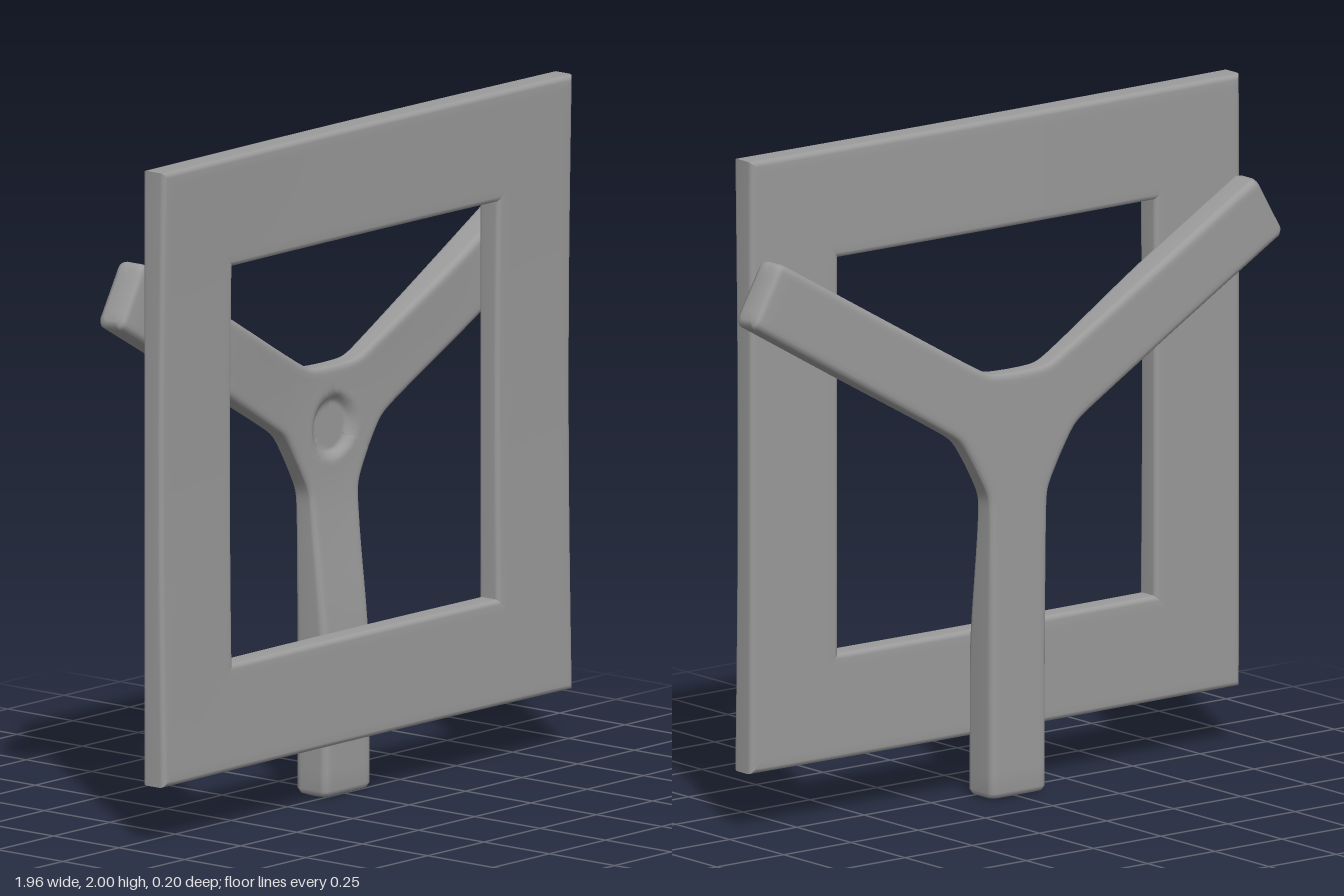
import * as THREE from 'three';
import { mergeGeometries, mergeVertices } from 'three/addons/utils/BufferGeometryUtils.js';

const N = 12;          // points across a broad face
const HALF = N + 7;    // ring points per half (broad face, two corners)
const { smoothstep, lerp } = THREE.MathUtils;

// Rounded rectangle as [u, z] pairs: front face first, then round to the back
function ring(u0, u1, z0, z1, b) {
  const pts = [];
  const cu = (u0 + u1) / 2, cz = (z0 + z1) / 2;
  const hu = (u1 - u0) / 2, hz = (z1 - z0) / 2;
  for (const s of [1, -1]) {
    for (let i = 0; i <= N; i++) pts.push([cu + s * (hu - b) * (2 * i / N - 1), cz + s * hz]);
    for (let k = 1; k <= 3; k++) {
      const t = k * Math.PI / 6;
      pts.push([cu + s * (hu - b + b * Math.sin(t)), cz + s * (hz - b + b * Math.cos(t))]);
    }
    for (let k = 0; k < 3; k++) {
      const t = k * Math.PI / 6;
      pts.push([cu + s * (hu - b + b * Math.cos(t)), cz - s * (hz - b + b * Math.sin(t))]);
    }
  }
  return pts;
}

// Skin a row of closed rings; the first `open` spans get no side walls
function skin(rows, open = 0) {
  const n = rows[0].length, index = [];
  for (let i = 0; i < rows.length - 1; i++) {
    for (let j = 0; j < n; j++) {
      if (i < open && j % HALF >= N) continue;
      const a = i * n + j, b = i * n + (j + 1) % n;
      index.push(a, b, b + n, a, b + n, a + n);
    }
  }
  const g = new THREE.BufferGeometry();
  g.setAttribute('position', new THREE.Float32BufferAttribute(rows.flat(2), 3));
  g.setIndex(index);
  return g;
}

// Half width of an arm: a nearly straight hub edge eased into the parallel arm
function armWidth(a) {
  const hubEdge = (0.18 - a / 2) * 2 / Math.sqrt(3), arm = 0.104;
  return (hubEdge + arm + Math.hypot(hubEdge - arm, 0.016)) / 2;
}

// One third of the spider: a wedge of the hub and its arm, pointing up +y
function spiderArm(tipZ) {
  const L = 1.083, B = 0.02, HUB = 0.09;
  const hubWidth = armWidth(HUB);
  const inner = HUB * (1 - B / hubWidth);
  const stations = [];                        // [distance, inset]
  for (let i = 0; i <= 16; i++) stations.push([inner * i / 16, 0]);
  const open = stations.length;
  for (let i = 0; i <= 12; i++) stations.push([HUB + 0.0133 * i, 0]);
  for (let i = 1; i <= 14; i++) stations.push([lerp(0.25, L - 0.02, i / 14), 0]);
  stations.push([L - 0.006, 0.006], [L, 0.02], [L, 0.05]);

  const rows = stations.map(([a, inset], i) => {
    const hub = i < open;
    const w = (hub ? a * hubWidth / HUB : armWidth(a)) - inset;
    const b = hub ? 0 : Math.min(B, 0.05 - inset);
    const k = hub ? 0 : Math.max(0, 1 - (a - HUB) / 0.1) * HUB / hubWidth;
    return ring(-w, w, -0.1 + inset, -inset, b).map(([x, z]) => {
      // rounded hub edges are drawn in towards the centre
      const ax = Math.abs(x);
      const pull = ax > w - b ? w - ax : b * (ax / Math.max(w - b, 1e-6)) ** 4;
      const y = a - k * pull;
      // front is hollowed towards the hub, with a round dimple in the middle
      const r = Math.hypot(x, y);
      const front = lerp(-0.035, tipZ, smoothstep(r, 0.1, 0.75))
        - 0.022 * (1 - smoothstep(r, 0.07, 0.1));
      return [x, y, -0.1 + (z + 0.1) * (front + 0.1) / 0.1];
    });
  });
  return skin(rows, open);
}

// One mitred side of the square frame, slightly bowed backwards in the middle
function frameSide(turn) {
  const rows = [];
  for (let i = 0; i <= 24; i++) {
    const t = 1 - i / 12;
    rows.push(ring(0.589, 0.911, 0.015, 0.1, 0.016).map(([h, z]) => {
      const x = h * t, y = h;
      const c = Math.cos(turn), s = Math.sin(turn);
      const X = x * c - y * s, Y = x * s + y * c;
      const bow = 0.01 * Math.cos(X * Math.PI / 1.82)
        + 0.012 * Math.cos(Y * Math.PI / 1.82) * (z - 0.015) / 0.085;
      // the opening sits a little below the frame's centre
      const drop = 0.007 * (0.911 - h) / 0.322;
      return [X, Y - drop, z - bow];
    }));
  }
  const g = skin(rows);
  g.computeVertexNormals();
  return g;
}

export function createModel() {
  const group = new THREE.Group();
  const material = new THREE.MeshStandardMaterial({ color: 0x9b9b9b });

  // Square frame in front
  const sides = [0, 1, 2, 3].map(i => frameSide(i * Math.PI / 2));
  const frame = new THREE.Mesh(mergeGeometries(sides), material);
  frame.name = 'squareFrame';
  frame.position.set(-0.004, 1.089, 0);
  group.add(frame);

  // Three-armed support behind
  const arms = [[-1, 0], [1, 0], [3, 0.02]].map(([turn, tip]) =>
    spiderArm(tip).rotateZ(turn * Math.PI / 3));
  const spiderGeometry = mergeVertices(mergeGeometries(arms), 1e-4);
  spiderGeometry.computeVertexNormals();
  const spider = new THREE.Mesh(spiderGeometry, material);
  spider.name = 'threeArmSupport';
  spider.position.set(0, 1.086, 0);
  group.add(spider);

  return group;
}
